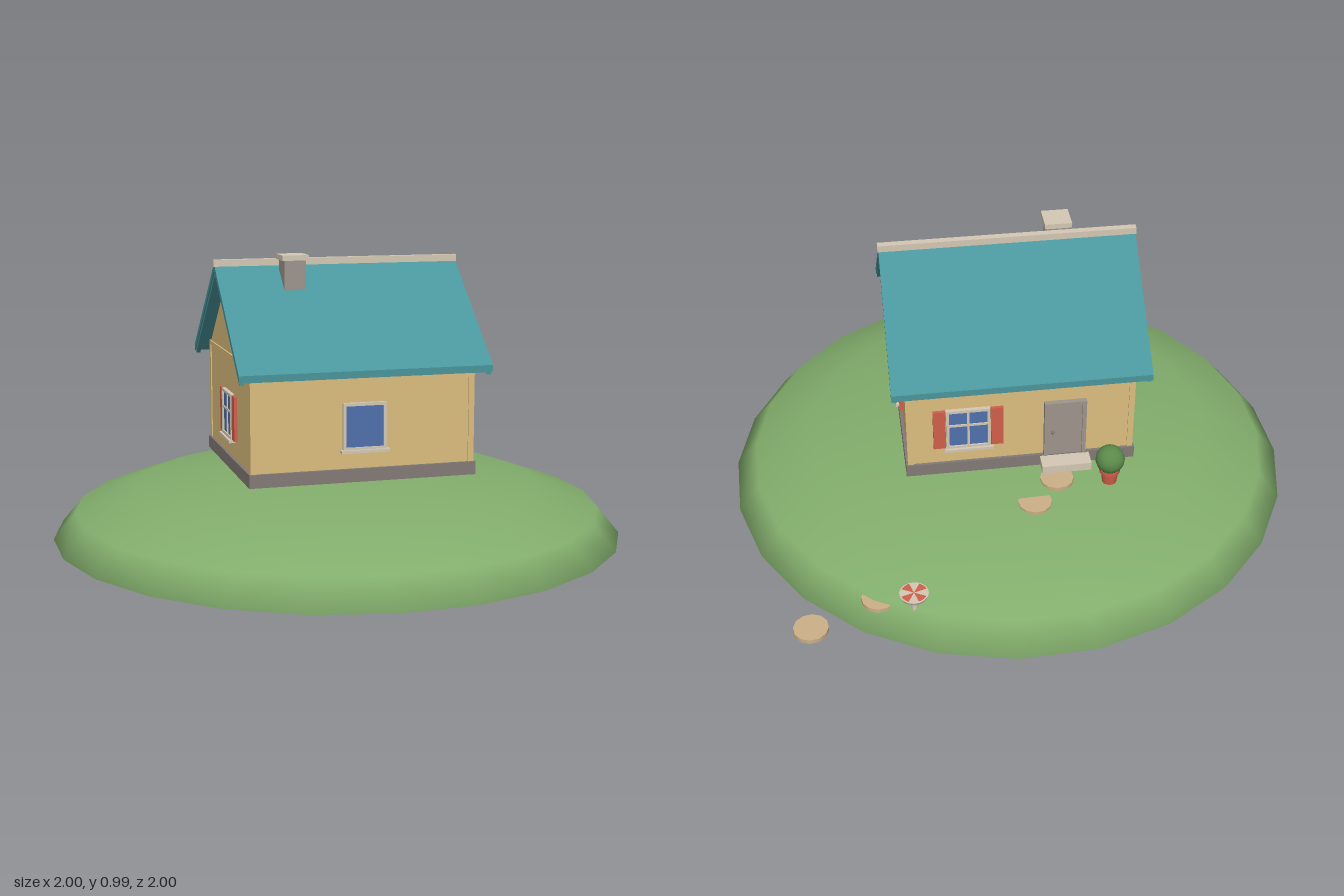
import * as THREE from 'three';

const mat = (name, color, extra = {}) => {
  const m = new THREE.MeshStandardMaterial({ color, ...extra });
  m.name = name;
  return m;
};

export function createModel() {
  const grass = mat('grass green', 0x82ad6c);
  const leaf = mat('leaf green', 0x5c8a4a);
  const plaster = mat('warm plaster', 0xdcbd7e);
  const teal = mat('teal roof', 0x4a969c);
  const darkGrey = mat('foundation grey', 0x837a76);
  const grey = mat('stone grey', 0x9e948d);
  const cream = mat('cream trim', 0xd4c8b4);
  const glass = mat('window blue', 0x5070ac);
  const red = mat('brick red', 0xd0604c);
  const tan = mat('path tan', 0xccb088);

  const model = new THREE.Group();
  model.name = 'hillCottage';

  const add = (parent, name, geo, material, x = 0, y = 0, z = 0) => {
    const m = new THREE.Mesh(geo, material);
    m.name = name;
    m.position.set(x, y, z);
    parent.add(m);
    return m;
  };
  const box = (parent, name, material, w, h, d, x, y, z) =>
    add(parent, name, new THREE.BoxGeometry(w, h, d), material, x, y, z);
  // Extrudes a z-y outline along x
  const prism = (points, length) => {
    const shape = new THREE.Shape(points.map(([z, y]) => new THREE.Vector2(z, y)));
    return new THREE.ExtrudeGeometry(shape, { depth: length, bevelEnabled: false })
      .translate(0, 0, -length / 2).rotateY(Math.PI / 2);
  };

  // Low dome with a closed base
  add(model, 'hill', new THREE.SphereGeometry(1, 24, 4, 0, Math.PI * 2, 0, Math.PI / 2).scale(1, 0.24, 1), grass);
  add(model, 'hillBase', new THREE.CircleGeometry(1, 24).rotateX(Math.PI / 2), grass);

  const house = new THREE.Group();
  house.name = 'house';
  house.rotation.y = 0.098;
  model.add(house);
  const A = 0.385, B = 0.335; // half length and half depth of the walls

  // Foundation, walls and trim
  box(house, 'foundation', darkGrey, 0.79, 0.045, 0.69, 0, 0.266, 0);
  add(house, 'walls', prism([[-B, 0.285], [B, 0.285], [B, 0.637], [0, 0.93], [-B, 0.637]], A * 2), plaster);
  for (const sx of [-1, 1]) {
    for (const sz of [-1, 1]) {
      box(house, 'cornerPost', plaster, 0.02, 0.34, 0.02, sx * (A - 0.006), 0.458, sz * (B - 0.006));
    }
    box(house, 'gableBand', plaster, 0.008, 0.015, B * 2, sx * (A + 0.001), 0.638, 0);
  }

  // Roof slabs, bargeboards and ridge
  const SLOPE = 0.85, E = 0.386;
  const chevron = (top, thick, e) => [
    [0, top], [-e, top - SLOPE * e], [-e, top - thick - SLOPE * e],
    [0, top - thick], [e, top - thick - SLOPE * e], [e, top - SLOPE * e],
  ];
  add(house, 'roof', prism(chevron(0.954, 0.024, E), 0.87), teal);
  for (const sx of [-1, 1]) {
    add(house, 'bargeboard', prism(chevron(0.94, 0.026, E - 0.008), 0.015), teal, sx * 0.424);
  }
  box(house, 'ridgeCap', cream, 0.876, 0.024, 0.024, 0, 0.955, 0);

  // Chimney
  box(house, 'chimney', grey, 0.075, 0.15, 0.075, -0.176, 0.893, 0.066);
  box(house, 'chimneyCap', cream, 0.093, 0.018, 0.093, -0.176, 0.976, 0.066);

  // Window facing +z of its own group
  const addWindow = (x, z, angle, shuttered) => {
    const g = new THREE.Group();
    g.name = 'window';
    g.position.set(x, 0.432, z);
    g.rotation.y = angle;
    house.add(g);
    box(g, 'glass', glass, 0.14, 0.145, 0.008, 0, 0, 0.004);
    for (const s of [-1, 1]) {
      box(g, 'frameSide', cream, 0.01, 0.16, 0.016, s * 0.07, 0, 0.006);
      box(g, 'frameRail', cream, 0.15, 0.01, 0.016, 0, s * 0.075, 0.006);
    }
    box(g, 'sill', cream, 0.168, 0.01, 0.026, 0, -0.083, 0.01);
    if (shuttered) {
      box(g, 'mullion', cream, 0.008, 0.15, 0.012, 0, 0, 0.006);
      box(g, 'crossbar', cream, 0.14, 0.008, 0.012, 0, 0.015, 0.006);
      for (const s of [-1, 1]) box(g, 'shutter', red, 0.042, 0.155, 0.012, s * 0.098, 0, 0.005);
    }
  };
  addWindow(0, B, 0, false);
  addWindow(A, 0, Math.PI / 2, true);
  addWindow(-A, 0, -Math.PI / 2, true);
  addWindow(0.18, -B, Math.PI, true);

  // Back door and step
  const door = new THREE.Group();
  door.name = 'door';
  door.position.set(-0.15, 0.288, -B);
  door.rotation.y = Math.PI;
  house.add(door);
  box(door, 'doorPanel', grey, 0.12, 0.21, 0.012, 0, 0.105, 0.005);
  for (const s of [-1, 1]) box(door, 'doorJamb', grey, 0.014, 0.222, 0.022, s * 0.065, 0.111, 0.007);
  box(door, 'doorLintel', grey, 0.144, 0.014, 0.022, 0, 0.217, 0.007);
  add(door, 'doorKnob', new THREE.SphereGeometry(0.007, 8, 6), darkGrey, -0.043, 0.1, 0.016);
  box(door, 'doorStep', cream, 0.17, 0.03, 0.06, 0, -0.02, 0.04);

  // Stepping stones running down the hill
  for (const [x, y, z] of [[-0.155, 0.217, -0.382], [-0.075, 0.2, -0.482], [0.45, 0.076, -0.79], [0.668, 0.037, -0.88]]) {
    add(model, 'steppingStone', new THREE.CylinderGeometry(0.058, 0.058, 0.015, 12), tan, x, y, z);
  }

  // Potted shrub beside the door
  const plant = new THREE.Group();
  plant.name = 'pottedShrub';
  plant.position.set(-0.333, 0, -0.405);
  model.add(plant);
  add(plant, 'pot', new THREE.CylinderGeometry(0.032, 0.025, 0.055, 14), red, 0, 0.252, 0);
  add(plant, 'potRim', new THREE.CylinderGeometry(0.036, 0.036, 0.014, 14), red, 0, 0.276, 0);
  add(plant, 'shrub', new THREE.SphereGeometry(0.05, 16, 12), leaf, 0, 0.32, 0);

  // Small round garden table with a painted top
  const table = new THREE.Group();
  table.name = 'gardenTable';
  table.position.set(0.332, 0, -0.848);
  model.add(table);
  add(table, 'tableStem', new THREE.CylinderGeometry(0.009, 0.011, 0.07, 10), cream, 0, 0.115, 0);
  add(table, 'tableCollar', new THREE.CylinderGeometry(0.024, 0.01, 0.012, 12), red, 0, 0.135, 0);
  add(table, 'tableTop', new THREE.CylinderGeometry(0.048, 0.042, 0.014, 16), cream, 0, 0.148, 0);
  for (let i = 0; i < 4; i++) {
    const wedge = new THREE.CircleGeometry(0.043, 4, Math.PI / 4 + i * Math.PI / 2 - 0.4, 0.8).rotateX(-Math.PI / 2);
    add(table, 'paintedWedge', wedge, red, 0, 0.1565, 0);
  }

  return model;
}
